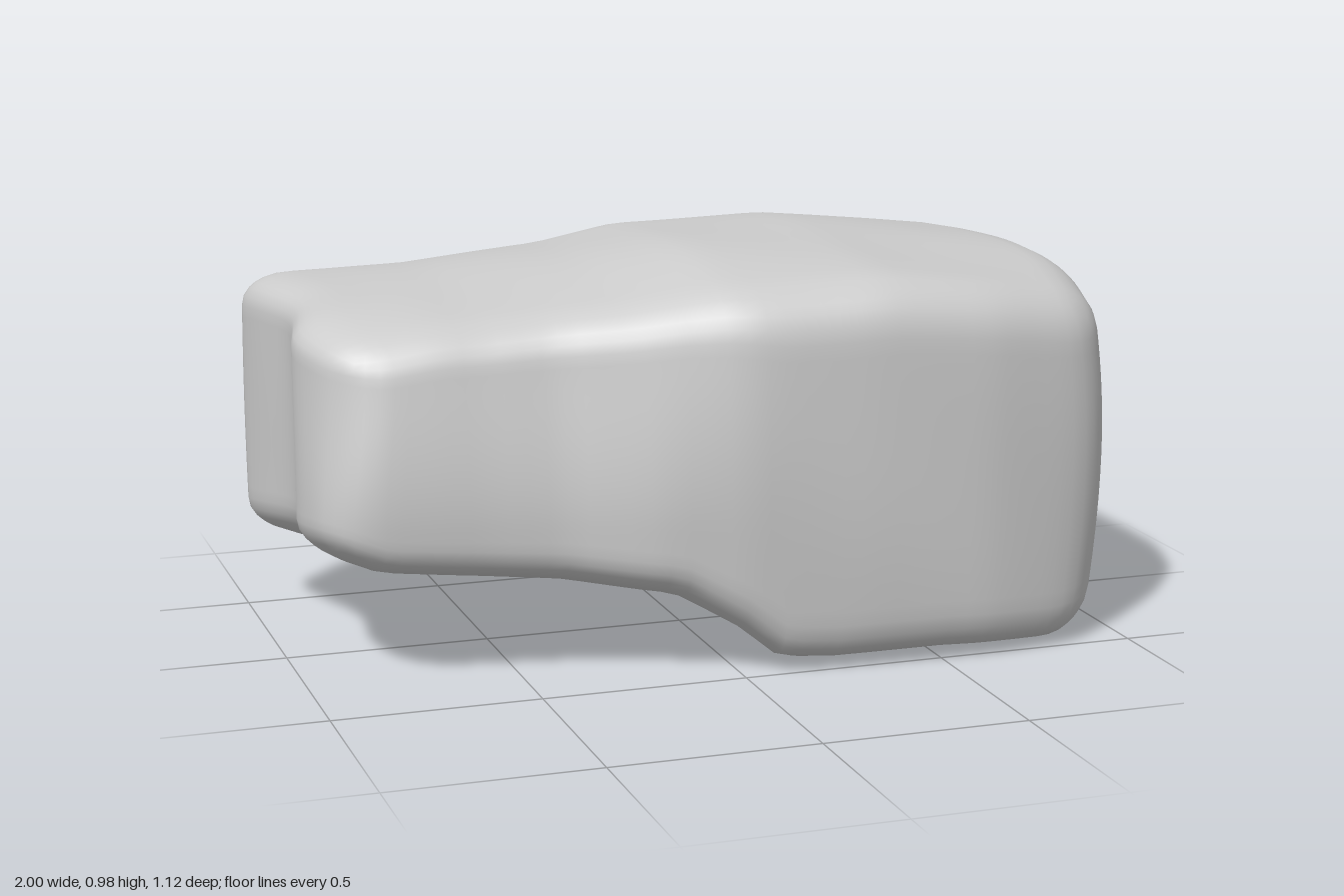
import * as THREE from 'three';
import { mergeVertices } from 'three/addons/utils/BufferGeometryUtils.js';

// Linear interpolation through [x, value] pairs
function profile(points) {
  return (x) => {
    if (x <= points[0][0]) return points[0][1];
    for (let i = 1; i < points.length; i++) {
      const [x0, a] = points[i - 1], [x1, b] = points[i];
      if (x <= x1) return THREE.MathUtils.lerp(a, b, (x - x0) / (x1 - x0));
    }
    return points[points.length - 1][1];
  };
}

// Outline of the boulder along its length
const top = profile([[-0.9, 0.905], [-0.6, 0.91], [-0.25, 0.945], [-0.03, 0.99], [0.35, 0.995], [0.6, 0.97], [0.95, 0.94]]);
const frontBottom = profile([[-1, 0.36], [-0.85, 0.3], [-0.4, 0.26], [-0.15, 0.22], [0, 0.12], [0.1, 0.03], [0.22, 0.02], [0.5, 0.025], [0.85, 0.015], [1, 0.03]]);
const backBottom = profile([[-1, 0.21], [-0.8, 0.2], [-0.4, 0.17], [0, 0.12], [0.5, 0.05], [0.85, 0], [1, 0.02]]);
const front = profile([[-1, 0.37], [-0.6, 0.395], [-0.42, 0.42], [-0.2, 0.5], [0, 0.54], [0.3, 0.555], [0.6, 0.555], [0.82, 0.53], [1, 0.5]]);
const back = profile([[-1, -0.565], [-0.5, -0.555], [0.1, -0.55], [0.4, -0.54], [0.6, -0.555], [0.85, -0.555], [1, -0.52]]);

// Box with finely divided faces and rounded edges
function roundedBlock(size, radius) {
  const geometry = new THREE.BoxGeometry(size.x, size.y, size.z, 44, 24, 26);
  const pos = geometry.attributes.position;
  const inner = size.clone().multiplyScalar(0.5).subScalar(radius);
  const outer = inner.clone().negate();
  const p = new THREE.Vector3(), core = new THREE.Vector3();
  for (let i = 0; i < pos.count; i++) {
    p.fromBufferAttribute(pos, i);
    core.copy(p).clamp(outer, inner);
    p.sub(core).setLength(radius).add(core);
    pos.setXYZ(i, p.x, p.y, p.z);
  }
  geometry.deleteAttribute('normal');
  geometry.deleteAttribute('uv');
  return mergeVertices(geometry, 1e-4);
}

export function createModel() {
  const size = new THREE.Vector3(2, 1, 1.1);
  const geometry = roundedBlock(size, 0.12);
  const pos = geometry.attributes.position;
  const { smoothstep, lerp } = THREE.MathUtils;

  for (let i = 0; i < pos.count; i++) {
    const x = pos.getX(i);
    const v = pos.getY(i) + 0.5;
    const w = pos.getZ(i) / size.z + 0.5;
    const wide = smoothstep(x, -0.25, 0.1);
    const leftEnd = 1 - smoothstep(x, -1, -0.6);
    const rightEnd = smoothstep(x, 0.6, 1);

    // Crowned top, lower at the front of the narrow end
    const hi = top(x) - 0.045 * Math.pow(2 * w - 0.85, 2) - 0.03 * leftEnd * w;

    // Underside steps down at the front, slopes along the back, arches at the wide end
    const arch = wide * 0.03 * Math.sin(Math.PI * w);
    const backBevel = wide * 0.05 * (1 - smoothstep(w, 0, 0.16));
    const lo = lerp(backBottom(x), frontBottom(x), w) + arch + backBevel;
    const y = lerp(lo, hi, v);

    // Faces lean in towards their rims; the narrow front slopes back as it rises
    const lean = 1 - 0.03 * Math.pow(2 * v - 1, 2);
    const slope = (1 - wide) * 0.05 * w * smoothstep(y, 0.4, 0.9);
    const z = lerp(back(x), front(x), w) * lean - slope;

    // Narrow end: hollow towards the back, chamfered front corner
    const hollow = 0.055 * Math.exp(-Math.pow((z + 0.13) / 0.2, 2));
    const chamfer = smoothstep(z, 0.05, 0.42) * (0.05 + 0.07 * smoothstep(y, 0.4, 0.85));
    // Wide end: bulges in the middle
    const bulge = 0.035 * Math.pow(2 * v - 1, 2) + 0.05 * smoothstep(z, 0.15, 0.5) + 0.04 * smoothstep(-z, 0.25, 0.55);
    const nx = x + leftEnd * (hollow + chamfer) - rightEnd * bulge;

    // Gentle weathered lumps
    const lump = 0.006 * Math.sin(7 * x + 5 * y) * Math.sin(8 * z + 4 * y);
    pos.setXYZ(i, nx, y + lump * v, z + lump);
  }

  // Stand on the ground, centred
  geometry.computeBoundingBox();
  const box = geometry.boundingBox;
  geometry.translate(-(box.min.x + box.max.x) / 2, -box.min.y, -(box.min.z + box.max.z) / 2);
  geometry.computeVertexNormals();

  const boulder = new THREE.Mesh(geometry, new THREE.MeshStandardMaterial({ color: 0xcccccc }));
  boulder.name = 'boulder';
  const group = new THREE.Group();
  group.name = 'rock';
  group.add(boulder);
  return group;
}
